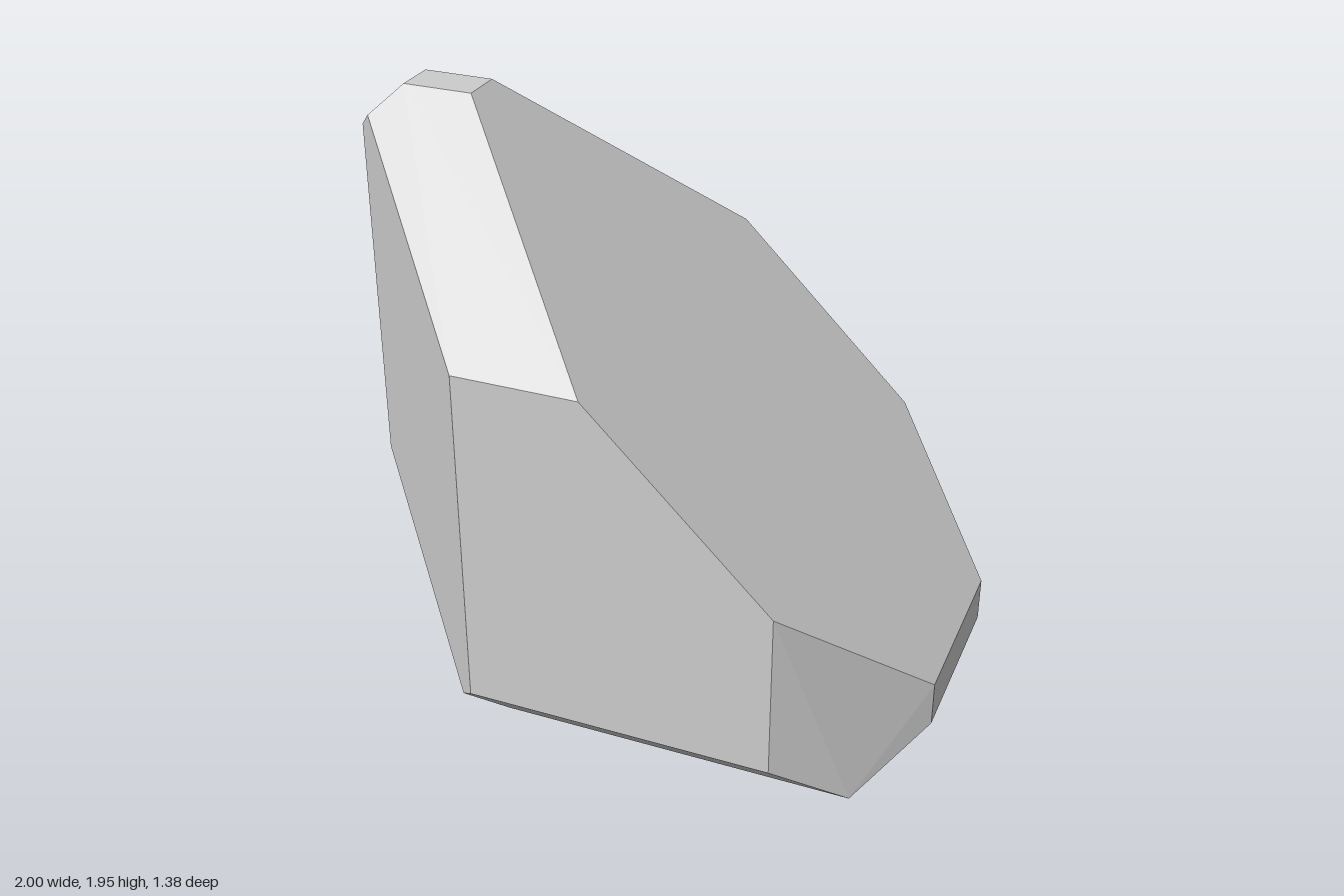
import * as THREE from 'three';
import { ConvexGeometry } from 'three/addons/geometries/ConvexGeometry.js';

export function createModel() {
  const group = new THREE.Group();
  group.name = 'facetedRock';

  // Corners of one half; the other half is mirrored in z.
  const half = [
    // narrow peak and its chamfered end
    [-0.86, 1.95, 0.07], [-0.626, 1.95, 0.07], [-0.945, 1.865, 0.155], [-1, 1.81, 0.1],
    // upright side wall
    [-0.41, 1.33, 0.69], [0, 1.33, 0.69], [0.6, 0.736, 0.69], [0.6, 0.17, 0.69], [-0.41, 0.17, 0.69],
    // tall end, bevelled under
    [-1, 0.635, 0.1], [-0.4725, 0.1075, 0.6275],
    // low end
    [1, 0.34, 0.3], [1, 0.19, 0.3],
    // base
    [-0.365, 0, 0.52], [0.81, 0, 0.52],
  ];
  const points = half.flatMap(([x, y, z]) => [
    new THREE.Vector3(x, y, z),
    new THREE.Vector3(x, y, -z),
  ]);

  const rock = new THREE.Mesh(
    new ConvexGeometry(points),
    new THREE.MeshStandardMaterial({ color: 0xcccccc, flatShading: true })
  );
  rock.name = 'rock';
  group.add(rock);
  return group;
}
